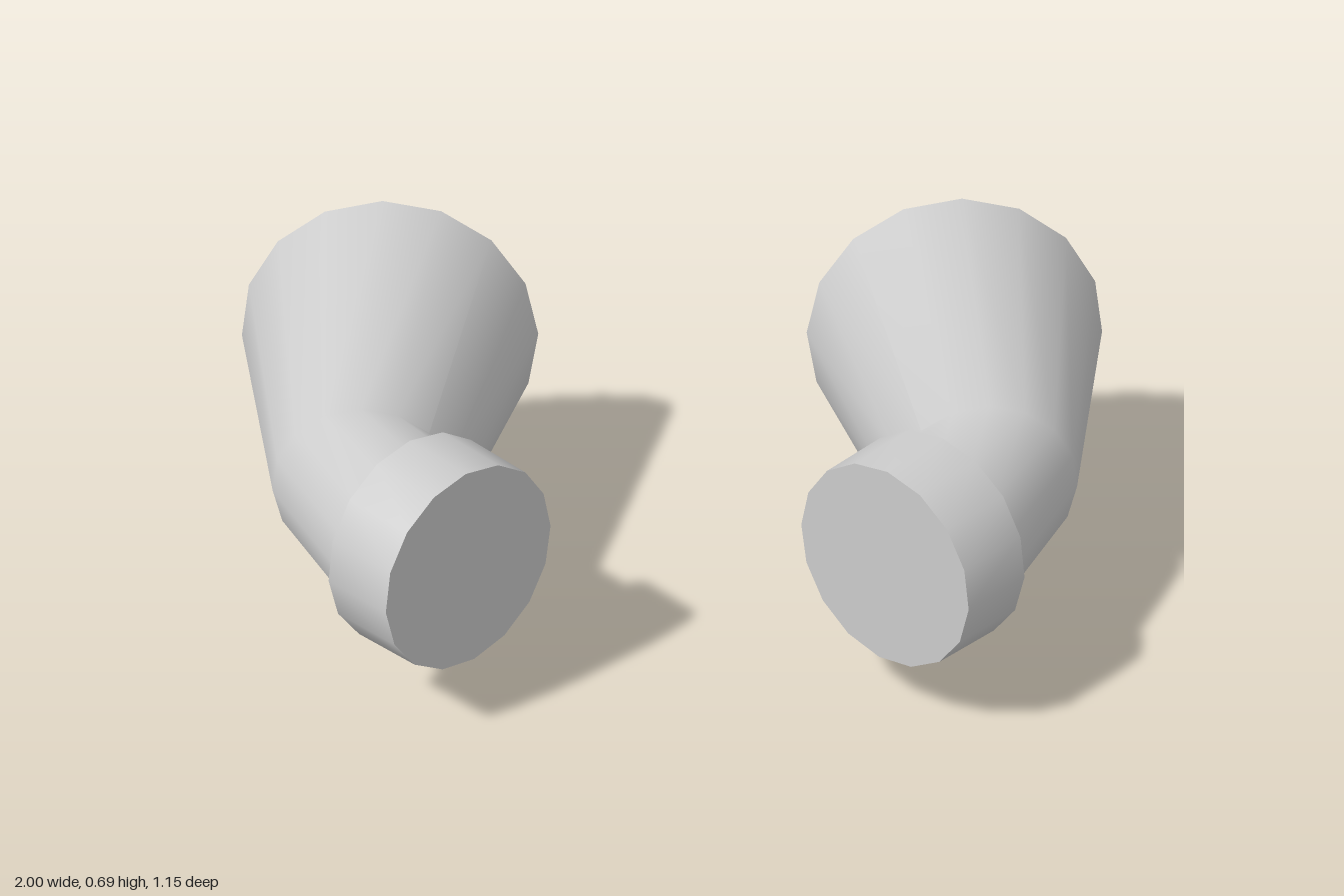
import * as THREE from 'three';
import { toCreasedNormals } from 'three/addons/utils/BufferGeometryUtils.js';

const SIDES = 16;
const CENTRE_Y = 0.345;
const material = new THREE.MeshStandardMaterial({ color: 0xcccccc });

// Skin over circular sections [x, z, radius, yaw]; side = -1 mirrors in x.
function loft(name, sections, side) {
  const positions = [];
  const index = [];
  for (const [x, z, r, yaw] of sections) {
    for (let j = 0; j < SIDES; j++) {
      const a = (j / SIDES) * Math.PI * 2;
      const u = r * Math.cos(a);
      positions.push(side * (x + u * Math.cos(yaw)), CENTRE_Y + r * Math.sin(a), z + u * Math.sin(yaw));
    }
  }
  const tri = (a, b, c) => (side > 0 ? index.push(a, b, c) : index.push(a, c, b));
  for (let i = 0; i < sections.length - 1; i++) {
    for (let j = 0; j < SIDES; j++) {
      const a = i * SIDES + j;
      const b = i * SIDES + ((j + 1) % SIDES);
      if (sections[i][2] > 0) tri(a, b, a + SIDES);
      if (sections[i + 1][2] > 0) tri(b, b + SIDES, a + SIDES);
    }
  }
  const geometry = new THREE.BufferGeometry();
  geometry.setAttribute('position', new THREE.Float32BufferAttribute(positions, 3));
  geometry.setIndex(index);
  const mesh = new THREE.Mesh(toCreasedNormals(geometry, 0.9), material);
  mesh.name = name;
  return mesh;
}

function createPipe(name, side) {
  const group = new THREE.Group();
  group.name = name;
  const turn = Math.PI / 4;

  // Flared pipe: recessed floor, thick rim, taper, then the elbow
  group.add(loft('flaredPipe', [
    [0.656, -0.455, 0, 0],
    [0.656, -0.455, 0.262, 0],
    [0.656, -0.575, 0.285, 0],
    [0.656, -0.575, 0.344, 0],
    [0.656, 0.11, 0.198, 0],
    [0.54, 0.29, 0.2, turn],
  ], side));

  // Closed collar on the angled end
  group.add(loft('collar', [
    [0.54, 0.293, 0, turn],
    [0.54, 0.293, 0.231, turn],
    [0.42, 0.413, 0.225, turn],
    [0.42, 0.413, 0, turn],
  ], side));
  return group;
}

export function createModel() {
  const model = new THREE.Group();
  model.name = 'pipePair';
  model.add(createPipe('leftPipe', 1), createPipe('rightPipe', -1));
  return model;
}
